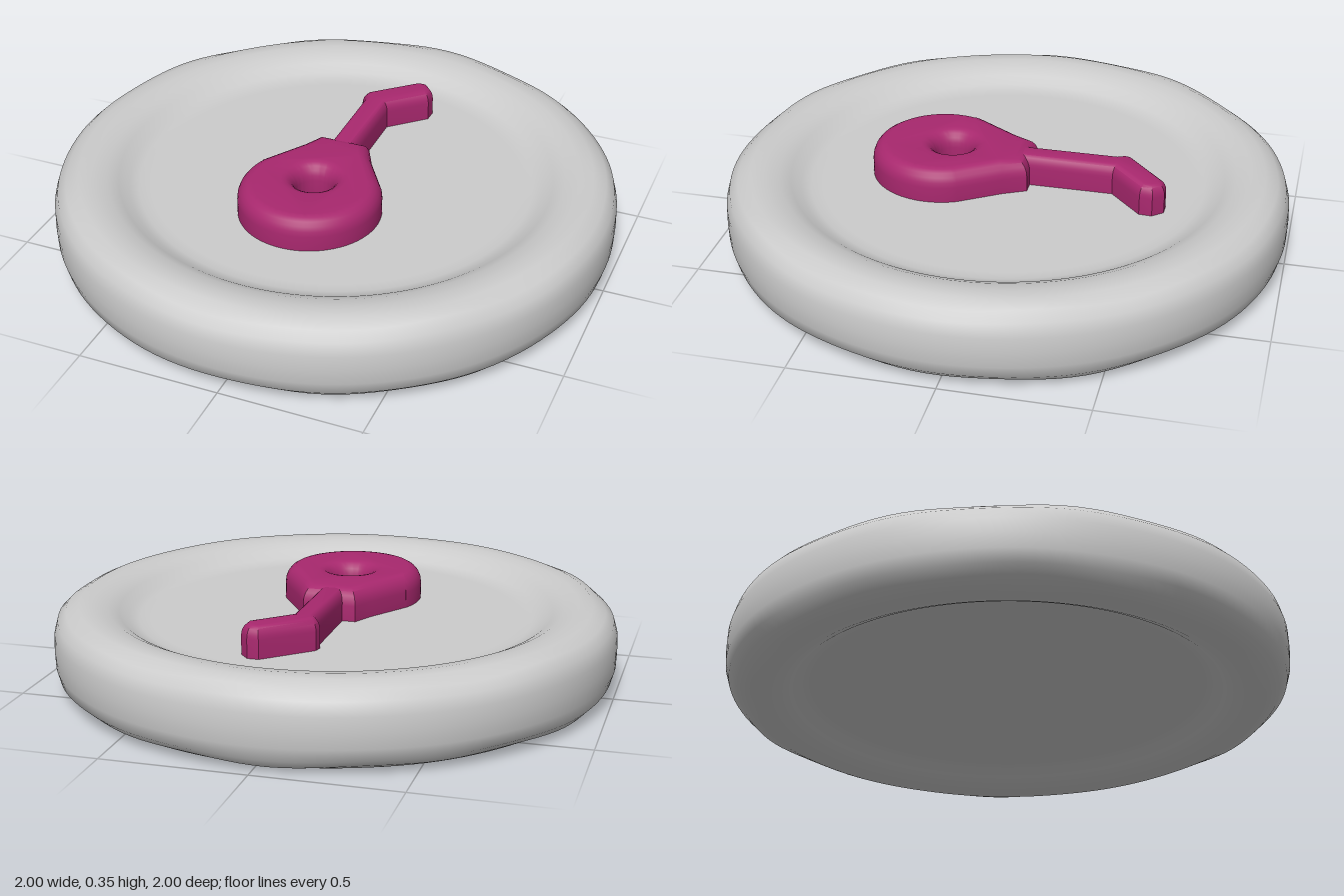
import * as THREE from 'three';
import { mergeVertices, toCreasedNormals } from 'three/addons/utils/BufferGeometryUtils.js';

const MID = 0.156;

// Weld vertices so that normals run smoothly over the surface
function weld(geometry) {
  geometry.deleteAttribute('uv');
  geometry.deleteAttribute('normal');
  const welded = mergeVertices(geometry, 1e-4);
  welded.computeVertexNormals();
  return welded;
}

// Round puck with a raised rim and a shallow recess on both faces
function createDisc() {
  const upper = [[1, MID], [0.998, 0.21], [0.985, 0.258], [0.955, 0.29], [0.91, 0.304], [0.86, 0.303],
    [0.81, 0.294], [0.77, 0.275], [0.735, 0.251], [0.7, 0.242], [0.66, 0.24], [0, 0.24]];
  const lower = upper.slice(1).reverse().map(([r, y]) => [r, 2 * MID - y]);
  const points = [...lower, ...upper].map(([r, y]) => new THREE.Vector2(r, y));
  const geometry = new THREE.LatheGeometry(points, 128);

  // Slight hand-worn unevenness along the rounded corners
  const pos = geometry.attributes.position;
  for (let i = 0; i < pos.count; i++) {
    const x = pos.getX(i), y = pos.getY(i), z = pos.getZ(i);
    const weight = Math.exp(-(((Math.hypot(x, z) - 0.96) / 0.035) ** 2));
    const a = Math.atan2(z, x) + (y > MID ? 0 : 1.3);
    const worn = 0.5 + 0.25 * Math.sin(5 * a) + 0.25 * Math.sin(11 * a + 2);
    pos.setY(i, MID + (y - MID) * (1 - 0.12 * weight * worn));
  }
  return weld(geometry);
}

// Raised emblem part: outline in (x, -z), extruded up to a rounded top edge
function raise(shape, top, bevel, bevelHeight) {
  const bottom = 0.16;
  const geometry = new THREE.ExtrudeGeometry(shape, {
    depth: top - bottom - 2 * bevelHeight, curveSegments: 32,
    bevelEnabled: true, bevelSize: bevel, bevelOffset: -bevel, bevelThickness: bevelHeight, bevelSegments: 5,
  });
  geometry.rotateX(-Math.PI / 2).translate(0, bottom + bevelHeight, 0);
  return toCreasedNormals(weld(geometry), 0.6);
}

function createRingBody() {
  const shape = new THREE.Shape();
  shape.moveTo(0.095, 0.09);
  shape.lineTo(-0.095, 0.09);
  shape.lineTo(-0.135, 0.01);
  shape.lineTo(-0.225, -0.13);
  shape.absarc(0, -0.238, 0.25, Math.PI - 0.447, 2 * Math.PI + 0.447, false);
  shape.lineTo(0.135, 0.01);
  shape.closePath();
  const hole = new THREE.Path();
  hole.absarc(0, -0.2, 0.065, 0, 2 * Math.PI, true);
  shape.holes.push(hole);
  return raise(shape, 0.355, 0.05, 0.06);
}

function createBentArm() {
  const outline = [[0.048, 0.02], [0.048, 0.385], [0.17, 0.5], [0.172, 0.545], [0.14, 0.582], [0.1, 0.582],
    [-0.055, 0.44], [-0.06, 0.41], [-0.048, 0.385], [-0.048, 0.02]];
  return raise(new THREE.Shape(outline.map(([x, y]) => new THREE.Vector2(x, y))), 0.35, 0.028, 0.045);
}

export function createModel() {
  const group = new THREE.Group();
  const grey = new THREE.MeshStandardMaterial({ color: 0xcccccc });
  const magenta = new THREE.MeshStandardMaterial({ color: 0xa8286e });
  const add = (name, geometry, material) => {
    const mesh = new THREE.Mesh(geometry, material);
    mesh.name = name;
    group.add(mesh);
  };
  add('disc', createDisc(), grey);
  add('emblemRing', createRingBody(), magenta);
  add('emblemArm', createBentArm(), magenta);
  return group;
}
